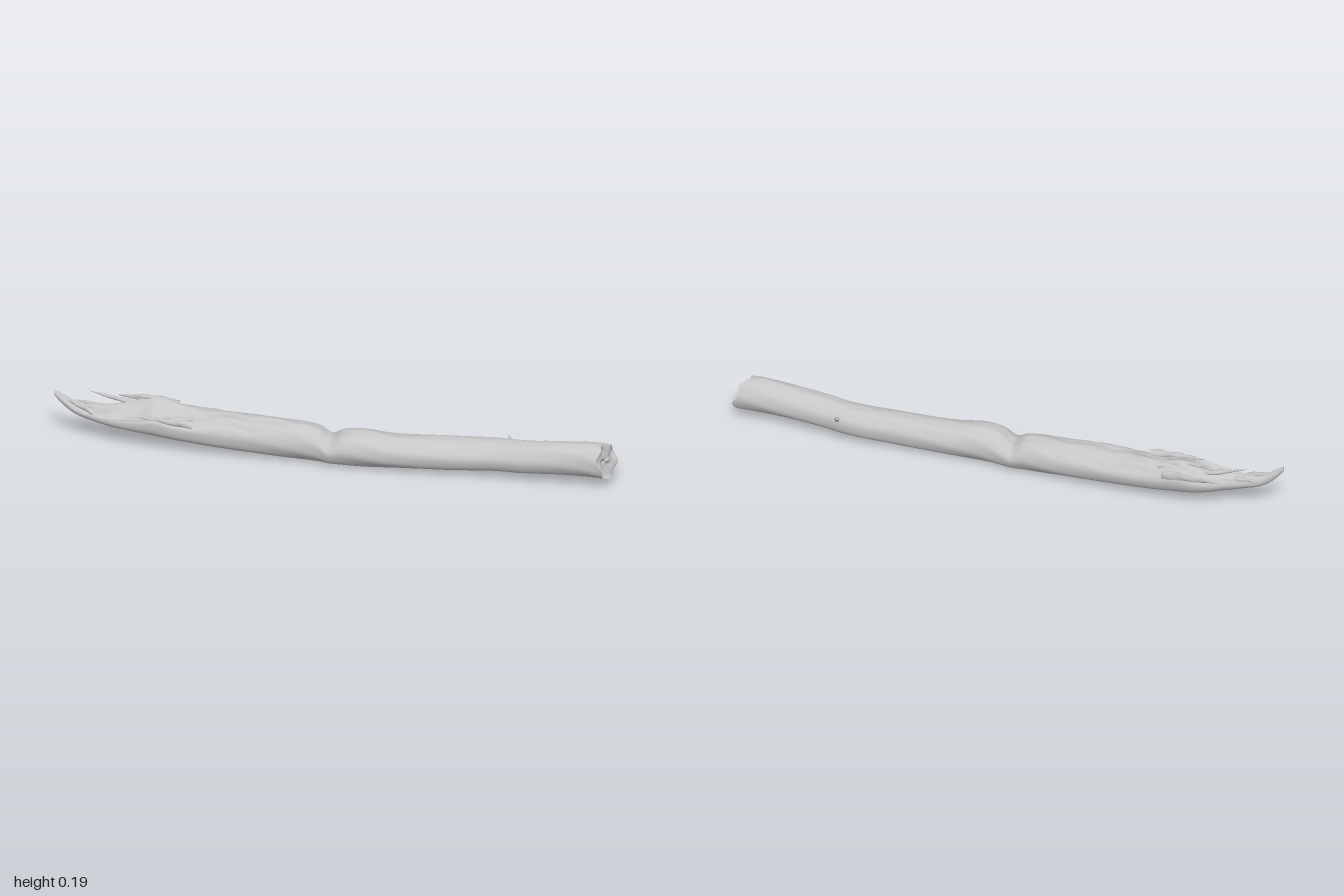
import * as THREE from 'three';

const { smoothstep, clamp } = THREE.MathUtils;

// Log profile along x: x, bottom y, top y, back z, front z
const PROFILE = [
  [-1.0, 0.172, 0.194, 0.0, 0.014],
  [-0.96, 0.128, 0.168, -0.012, 0.018],
  [-0.92, 0.102, 0.146, -0.02, 0.024],
  [-0.86, 0.083, 0.14, -0.03, 0.034],
  [-0.8, 0.068, 0.145, -0.045, 0.046],
  [-0.74, 0.06, 0.152, -0.07, 0.058],
  [-0.69, 0.052, 0.168, -0.084, 0.066],
  [-0.64, 0.045, 0.182, -0.086, 0.07],
  [-0.56, 0.037, 0.163, -0.084, 0.071],
  [-0.4, 0.024, 0.15, -0.079, 0.071],
  [-0.2, 0.011, 0.144, -0.07, 0.066],
  [-0.06, 0.005, 0.133, -0.06, 0.068],
  [-0.015, 0.004, 0.108, -0.057, 0.076],
  [0.03, 0.004, 0.132, -0.054, 0.082],
  [0.1, 0.006, 0.142, -0.05, 0.085],
  [0.2, 0.01, 0.13, -0.05, 0.08],
  [0.4, 0.016, 0.134, -0.054, 0.07],
  [0.58, 0.026, 0.141, -0.058, 0.062],
  [0.66, 0.03, 0.147, -0.046, 0.069],
  [0.8, 0.04, 0.16, -0.04, 0.072],
  [0.92, 0.043, 0.169, -0.038, 0.075],
  [1.0, 0.04, 0.166, -0.036, 0.074],
];
const profile = new THREE.CubicInterpolant(
  PROFILE.map((r) => r[0]), PROFILE.flatMap((r) => r.slice(1)), 4);
const RING = 56, STEPS = 260;

// Point on the bark at station x and angle a (0 = front, PI/2 = top)
function barkPoint(x, a) {
  const [y0, y1, z0, z1] = profile.evaluate(x);
  const ry = (y1 - y0) / 2, rz = (z1 - z0) / 2;
  const c = Math.cos(a), s = Math.sin(a);
  const up = smoothstep(s, 0.1, 0.9);
  const torn = 1 - smoothstep(x, -0.6, 0.1);
  // long bark waves, plus furrows on the weathered upper side
  let k = 1 + 0.018 * Math.sin(3 * a + 5 * x) + 0.015 * Math.sin(2 * a - 9 * x + 1);
  k += 0.012 * Math.sin(7 * a + 13 * x + 2 * Math.sin(6 * x));
  k -= up * (0.02 + 0.05 * torn) * Math.pow(Math.abs(Math.sin(5 * a + 2.2 * Math.sin(4 * x) + 0.6 * Math.sin(37 * x))), 6);
  k += up * torn * 0.03 * Math.sin(53 * x + 4 * a) * Math.sin(31 * x - 3 * a);
  // hollow left where the broken end has split away
  const hollow = smoothstep(x, -0.98, -0.82) * (1 - smoothstep(x, -0.62, -0.35));
  const y = (y0 + y1) / 2 + ry * s * k - hollow * 0.034 * up * smoothstep(c, -0.35, 0.25);
  const z = (z0 + z1) / 2 + rz * c * k;
  // oblique break at the thick end
  const end = clamp((x - 0.88) / 0.12, 0, 1);
  const dx = -end * (0.022 * (1 + c) + 0.012 * (1 + s) + 0.006 * Math.sin(5 * a) - 0.004);
  return new THREE.Vector3(x + dx, y, z);
}

// Closed tube skin from a point rule: rows along the length, RING points around
function skin(rows, pointAt, around = RING) {
  const pos = [], idx = [];
  for (let i = 0; i <= rows; i++)
    for (let j = 0; j < around; j++) pos.push(...pointAt(i / rows, (j / around) * Math.PI * 2));
  for (let i = 0; i < rows; i++)
    for (let j = 0; j < around; j++) {
      const p = i * around + j, q = i * around + ((j + 1) % around);
      idx.push(p, p + around, q, q, p + around, q + around);
    }
  const g = new THREE.BufferGeometry();
  g.setAttribute('position', new THREE.Float32BufferAttribute(pos, 3));
  g.setIndex(idx);
  g.computeVertexNormals();
  return g;
}

// Flattened splinter tapering along a curve of points
function splinter(points, width, height) {
  const curve = new THREE.CatmullRomCurve3(points.map((p) => new THREE.Vector3(...p)));
  const dir = Math.sign(points[points.length - 1][0] - points[0][0]) || 1;
  return skin(14, (t, a) => {
    const p = curve.getPoint(t);
    const r = Math.pow(1 - t, 0.7) * (1 + 0.15 * Math.sin(17 * t + 2 * a)) + 0.03;
    return [p.x, p.y + r * height * Math.sin(a), p.z + dir * r * width * Math.cos(a)];
  }, 8);
}

export function createModel() {
  const wood = new THREE.MeshStandardMaterial({ color: 0xc6c6c6 });
  wood.name = 'weatheredWood';
  const group = new THREE.Group();
  group.name = 'fallenLog';
  const add = (name, geometry) => {
    const mesh = new THREE.Mesh(geometry, wood);
    mesh.name = name;
    group.add(mesh);
    return mesh;
  };

  // Trunk
  add('trunk', skin(STEPS, (t, a) => barkPoint(-1 + 2 * t, a)));

  // Rough, slightly dished break at each end
  const capAt = (x, depth) => {
    const center = new THREE.Vector3();
    for (let j = 0; j < RING; j++) center.add(barkPoint(x, (j / RING) * Math.PI * 2));
    center.divideScalar(RING);
    return (t, a) => {
      const r = x > 0 ? 1 - t : t;
      const p = barkPoint(x, a).lerp(center, 1 - r);
      p.x -= depth * (1 - r * r) + depth * 0.5 * Math.sin(3 * a + 6 * r) * r * (1 - r) * 4;
      return p;
    };
  };
  add('thickBrokenEnd', skin(10, capAt(1, 0.009)));
  add('thinBrokenEnd', skin(2, capAt(-1, 0)));

  // Splinters around the torn end
  const SPLINTERS = [
    [[[-0.58, 0.13, -0.074], [-0.68, 0.14, -0.082], [-0.79, 0.143, -0.084]], 0.01, 0.022],
    [[[-0.66, 0.13, -0.04], [-0.77, 0.152, -0.036], [-0.88, 0.182, -0.026]], 0.013, 0.014],
    [[[-0.56, 0.145, -0.04], [-0.64, 0.168, -0.036], [-0.73, 0.172, -0.04]], 0.02, 0.014],
    [[[-0.5, 0.12, 0.05], [-0.6, 0.129, 0.052], [-0.7, 0.134, 0.048]], 0.014, 0.016],
    [[[-0.76, 0.11, -0.01], [-0.85, 0.13, -0.022], [-0.93, 0.138, -0.032]], 0.014, 0.012],
    [[[-0.86, 0.12, 0.014], [-0.93, 0.148, 0.006], [-0.985, 0.165, -0.008]], 0.012, 0.012],
  ];
  SPLINTERS.forEach(([points, w, h], i) => add(`splinter${i + 1}`, splinter(points, w, h)));

  // Snapped twig on the back of the trunk
  const twig = new THREE.CylinderGeometry(0.003, 0.012, 0.035, 7);
  const stub = add('twigStub', twig);
  stub.position.set(0.61, 0.112, -0.056);
  stub.rotation.set(-0.9, 0, 0.25);

  return group;
}
